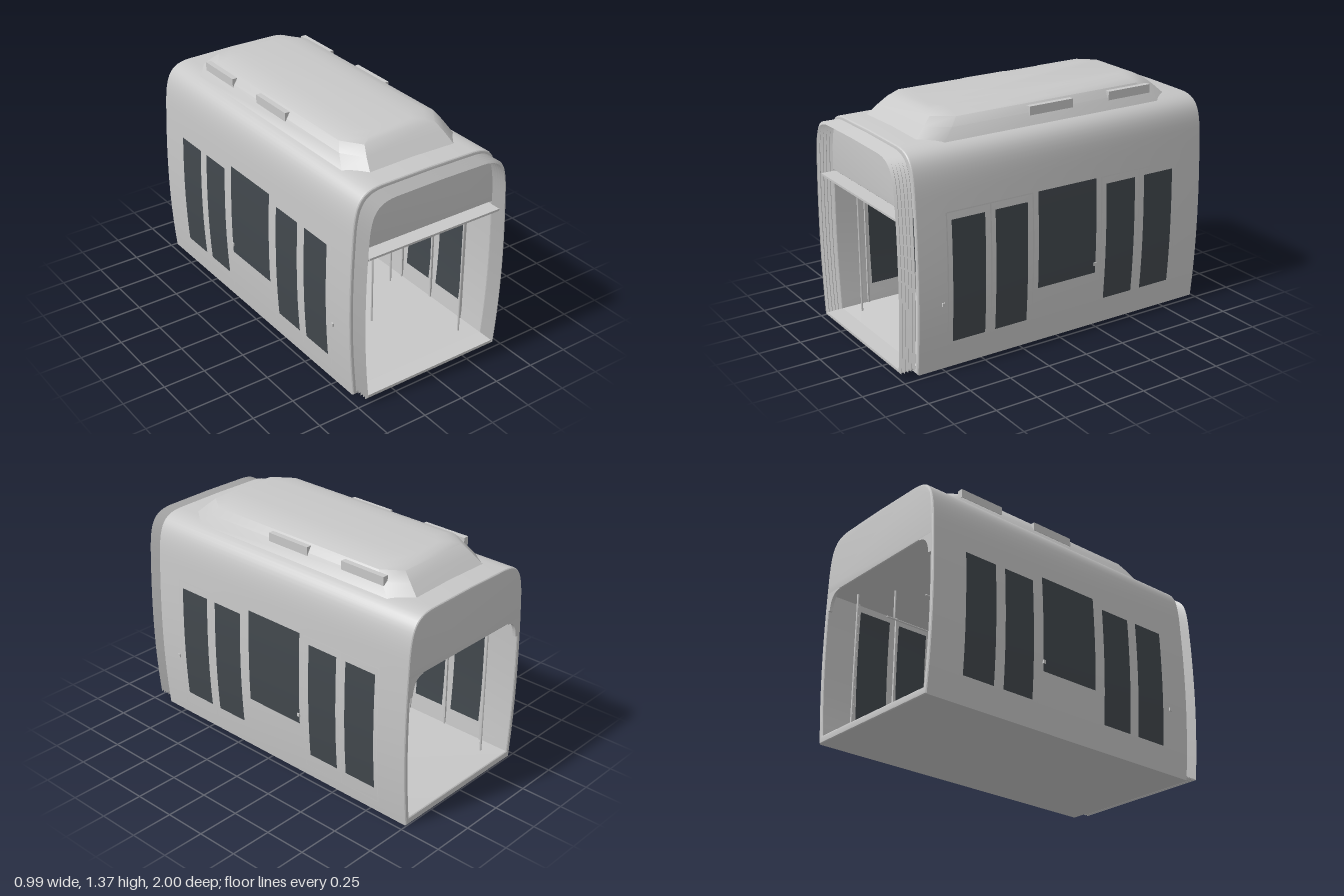
import * as THREE from 'three';
import { toCreasedNormals } from 'three/addons/utils/BufferGeometryUtils.js';

const grey = new THREE.MeshStandardMaterial({ color: 0xc8c8c8, side: THREE.DoubleSide });
grey.name = 'light grey';
const glass = new THREE.MeshStandardMaterial({ color: 0x42484d, side: THREE.DoubleSide });
glass.name = 'dark glass';
const display = new THREE.MeshStandardMaterial({ color: 0x40444f });
display.name = 'display dark';

// half width of the gently bulging side wall at height y
const sideX = y => (y < 0.55 ? 0.49 - 0.03 * ((0.55 - y) / 0.55) ** 2 : 0.49 - 0.012 * ((y - 0.55) / 0.4) ** 2);

// closed outline of the carriage cross-section
function outline() {
  const half = [];
  for (let i = 0; i < 16; i++) half.push(new THREE.Vector2(sideX(0.95 * i / 16), 0.95 * i / 16));
  const corner = new THREE.CubicBezierCurve(
    new THREE.Vector2(0.478, 0.95), new THREE.Vector2(0.468, 1.16),
    new THREE.Vector2(0.45, 1.24), new THREE.Vector2(0.3, 1.246));
  half.push(...corner.getPoints(14));
  return [...half, new THREE.Vector2(0, 1.25), ...half.map(p => new THREE.Vector2(-p.x, p.y)).reverse()];
}

// skin stretched over a series of rings of equal point count
function loft(rings, capEnd, crease) {
  const n = rings[0].length, pos = rings.flat(), index = [];
  for (let r = 0; r < rings.length - 1; r++)
    for (let i = 0; i < n; i++) {
      const a = r * n + i, b = r * n + (i + 1) % n;
      index.push(a, b, b + n, a, b + n, a + n);
    }
  if (capEnd) {
    const s = (rings.length - 1) * n;
    for (let i = 1; i < n - 1; i++) index.push(s, s + i, s + i + 1);
  }
  const g = new THREE.BufferGeometry();
  g.setAttribute('position', new THREE.Float32BufferAttribute(pos.flat(), 3));
  g.setIndex(index);
  return toCreasedNormals(g, crease);
}

// thin plate following the side wall, pushed out by off
function sidePatch(side, z0, z1, y0, y1, off) {
  const g = new THREE.PlaneGeometry(Math.abs(z1 - z0), y1 - y0, 1, 12);
  g.rotateY(side * Math.PI / 2);
  g.translate(0, (y0 + y1) / 2, (z0 + z1) / 2);
  const p = g.attributes.position;
  for (let i = 0; i < p.count; i++) p.setX(i, side * (sideX(p.getY(i)) + off));
  g.computeVertexNormals();
  return g;
}

export function createModel() {
  const model = new THREE.Group();
  model.name = 'carriageSection';
  const add = (name, geometry, material = grey) => {
    const m = new THREE.Mesh(geometry, material);
    m.name = name;
    model.add(m);
    return m;
  };
  const box = (name, x0, x1, y0, y1, z0, z1, material) =>
    add(name, new THREE.BoxGeometry(x1 - x0, y1 - y0, z1 - z0), material)
      .position.set((x0 + x1) / 2, (y0 + y1) / 2, (z0 + z1) / 2);
  const pole = (name, x, z, y0, y1) =>
    add(name, new THREE.CylinderGeometry(0.006, 0.006, y1 - y0, 10)).position.set(x, (y0 + y1) / 2, z);

  // carriage shell with the cabin cut through it
  const shell = new THREE.Shape(outline());
  const inner = [];
  for (let i = 0; i <= 16; i++) {
    const y = 0.045 + 0.85 * i / 16;
    inner.push(new THREE.Vector2(sideX(y) - 0.03, y));
  }
  shell.holes.push(new THREE.Path([...inner, ...inner.map(p => new THREE.Vector2(-p.x, p.y)).reverse()]));
  const body = new THREE.ExtrudeGeometry(shell, {
    depth: 1.876, bevelSize: 0.012, bevelThickness: 0.012, bevelOffset: -0.012, bevelSegments: 3 });
  body.translate(0, 0, -0.988);
  add('bodyShell', toCreasedNormals(body, 0.5));

  // rounded upper corners of the rear opening
  for (const s of [1, -1]) {
    const c = new THREE.Shape();
    c.moveTo(s * 0.442, 0.79);
    c.bezierCurveTo(s * 0.435, 0.86, s * 0.41, 0.894, s * 0.36, 0.895);
    c.lineTo(s * 0.36, 0.91);
    c.lineTo(s * 0.465, 0.91);
    c.lineTo(s * 0.465, 0.79);
    const g = new THREE.ExtrudeGeometry(c, { depth: 0.02, bevelEnabled: false });
    g.translate(0, 0, -0.999);
    add('rearCorner', g);
  }

  // pleated connecting bellows
  const pts = outline(), rings = [];
  for (let i = 0; i <= 10; i++) {
    const d = i % 2 ? 0.013 : 0.027;
    rings.push(pts.map(p => [p.x * (0.49 - d) / 0.49, 0.632 + (p.y - 0.625) * (0.617 - d) / 0.625, 0.9 + i * 0.01]));
  }
  add('bellows', loft(rings, false, 0.5));
  box('gangwayFloor', -0.435, 0.435, 0.03, 0.045, 0.89, 0.99);
  box('gangwayCeiling', -0.43, 0.43, 0.888, 0.9, 0.88, 0.985);

  // roof equipment housing
  const levels = [
    [1.235, 0.368, 0.78, -0.88, 0.09], [1.3, 0.338, 0.71, -0.81, 0.085], [1.345, 0.31, 0.66, -0.755, 0.08],
    [1.364, 0.25, 0.635, -0.725, 0.07], [1.372, 0.17, 0.6, -0.69, 0.05]];
  add('roofHousing', loft(levels.map(([y, w, f, b, c]) => [
    [w - c, y, f], [w, y, f - c * 1.4], [w, y, b + c * 1.4], [w - c, y, b],
    [c - w, y, b], [-w, y, b + c * 1.4], [-w, y, f - c * 1.4], [c - w, y, f]]), true, 0.6));

  for (const s of [1, -1]) {
    // upright vents on the roof housing
    for (const [z0, z1] of [[-0.175, 0.11], [-0.71, -0.42]])
      box('roofVent', Math.min(s * 0.315, s * 0.348), Math.max(s * 0.315, s * 0.348), 1.285, 1.335, z0, z1);

    // glazing, seen from outside and inside
    const panes = [[0.485, 0.69, 0.155, 0.855], [0.215, 0.42, 0.155, 0.855], [-0.245, 0.145, 0.335, 0.9],
      [-0.515, -0.315, 0.155, 0.855], [-0.785, -0.58, 0.155, 0.855]];
    for (const [z0, z1, y0, y1] of panes) {
      add('window', sidePatch(s, z0, z1, y0, y1, 0.003), glass);
      add('windowInside', sidePatch(s, z0, z1, y0, Math.min(y1, 0.885), -0.034), glass);
    }

    // door frames with posts on the inner wall
    for (const [z0, z1] of [[0.18, 0.72], [-0.81, -0.28]]) {
      for (const z of [z0, (z0 + z1) / 2, z1]) {
        add('doorFrameUpright', sidePatch(s, z - 0.004, z + 0.004, 0.07, 0.9, 0.004));
        box('doorPost', s * 0.434 - 0.006, s * 0.434 + 0.006, 0.045, 0.89, z - 0.006, z + 0.006);
      }
      add('doorSill', sidePatch(s, z0, z1, 0.068, 0.076, 0.004));
      add('doorHead', sidePatch(s, z0, z1, 0.895, 0.902, 0.004));
    }
    for (const z of [0.75, -0.24])
      box('doorButton', s * 0.49 - 0.006, s * 0.49 + 0.006, 0.38, 0.4, z - 0.008, z + 0.008);

    // grab poles and overhead rail
    for (const z of [0.81, 0.18, -0.25, -0.88]) pole('sidePole', s * 0.345, z, 0.045, 0.895);
    const rail = new THREE.CylinderGeometry(0.005, 0.005, 1.5, 8);
    rail.rotateX(Math.PI / 2);
    add('handRail', rail).position.set(s * 0.172, 0.72, -0.05);
    for (const z of [0.65, -0.05, -0.75]) pole('railHanger', s * 0.172, z, 0.72, 0.895);

    // pairs of seats placed back to back
    for (const x of [0.175, 0.355]) {
      box('seatBack', s * x - 0.087, s * x + 0.087, 0.2, 0.48, -0.07, -0.03);
      box('seatCushion', s * x - 0.087, s * x + 0.087, 0.185, 0.225, -0.21, 0.11);
    }
  }
  for (const z of [0.45, -0.55]) pole('centrePole', 0, z, 0.045, 0.895);

  // hanging information display with a screen on each face
  box('displayCase', -0.125, 0.125, 0.775, 0.865, -0.065, -0.035);
  for (const z of [-0.067, -0.033]) box('displayScreen', -0.116, 0.116, 0.782, 0.858, z - 0.002, z + 0.002, display);
  box('displayHanger', -0.01, 0.01, 0.86, 0.9, -0.055, -0.045);

  return model;
}
